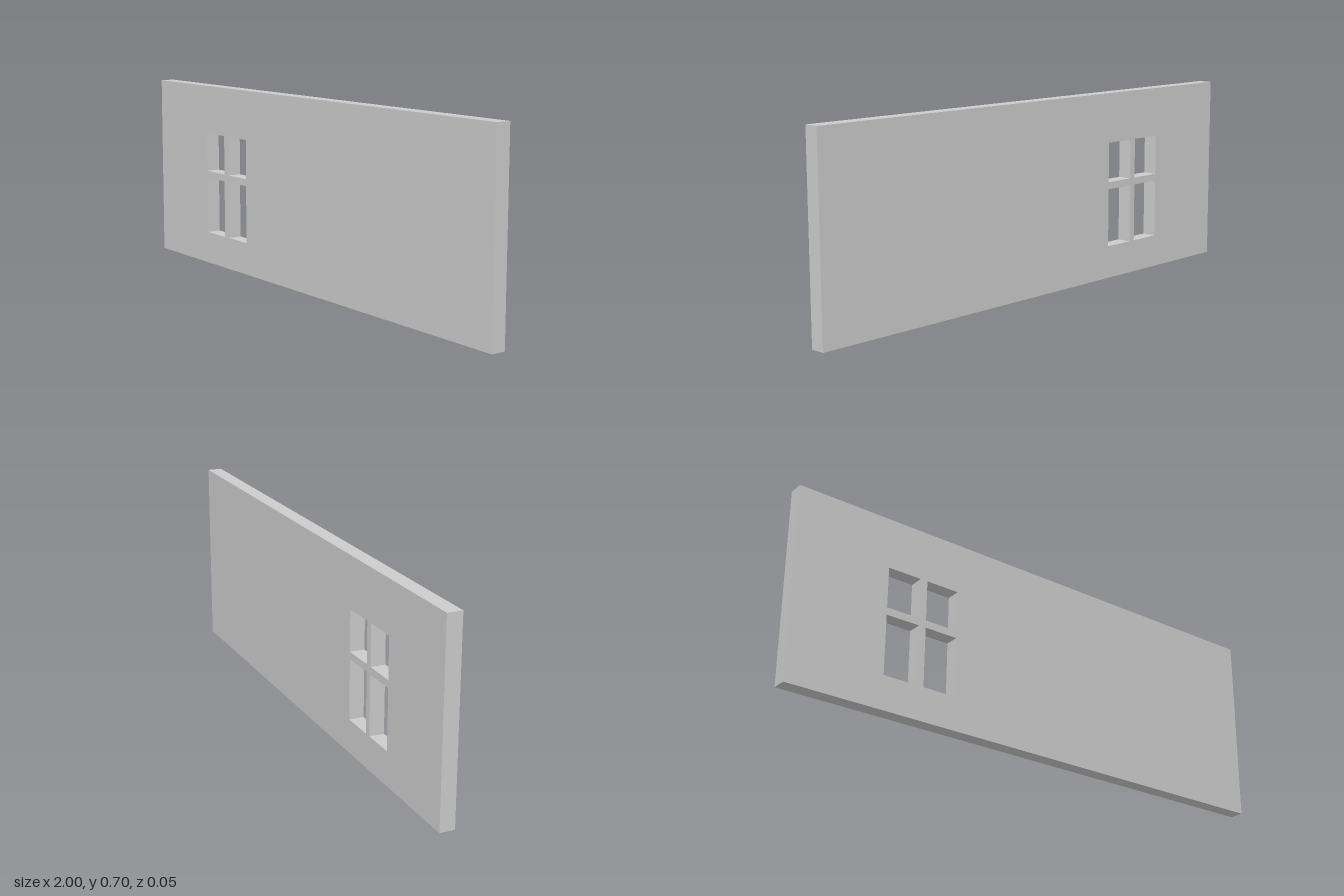
import * as THREE from 'three';

const WIDTH = 2, HEIGHT = 0.705, DEPTH = 0.054;

// Traces a rectangle from its left, right, bottom and top edges
function rectangle(path, left, right, bottom, top) {
  path.moveTo(left, bottom);
  path.lineTo(right, bottom);
  path.lineTo(right, top);
  path.lineTo(left, top);
  path.closePath();
  return path;
}

export function createModel() {
  const group = new THREE.Group();
  group.name = 'wallPanel';

  // Wall slab
  const outline = rectangle(new THREE.Shape(), -WIDTH / 2, WIDTH / 2, 0, HEIGHT);

  // Four window openings, leaving a cross of glazing bars flush with the wall
  const columns = [[-0.645, -0.517], [-0.49, -0.363]];
  const rows = [[0.123, 0.342], [0.369, 0.519]];
  for (const [left, right] of columns) {
    for (const [bottom, top] of rows) {
      outline.holes.push(rectangle(new THREE.Path(), left, right, bottom, top));
    }
  }

  const geometry = new THREE.ExtrudeGeometry(outline, { depth: DEPTH, bevelEnabled: false });
  geometry.translate(0, 0, -DEPTH / 2);
  const wall = new THREE.Mesh(geometry, new THREE.MeshStandardMaterial({ color: 0xcccccc }));
  wall.name = 'wallWithWindow';
  group.add(wall);

  return group;
}
